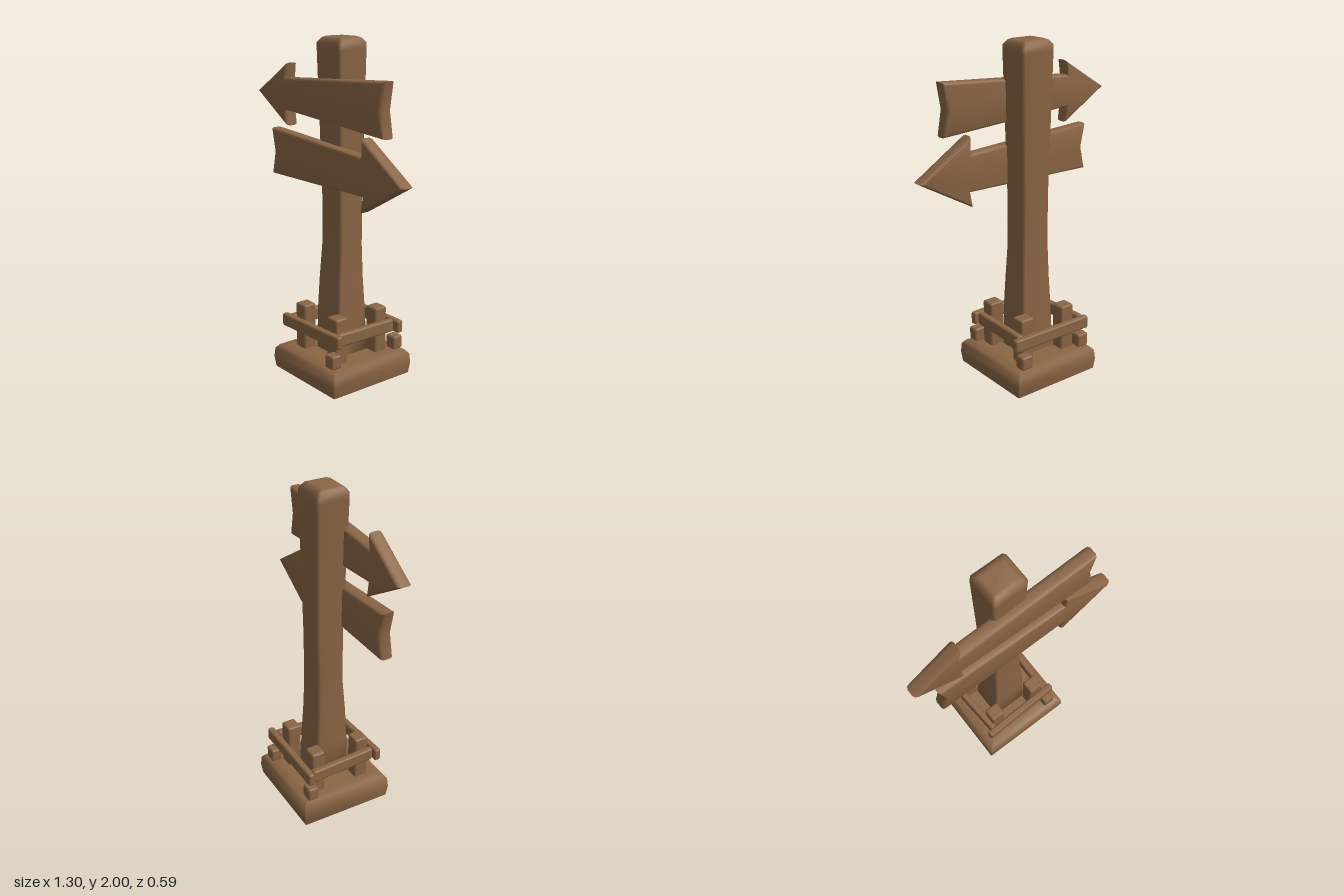
import * as THREE from 'three';
import { toCreasedNormals } from 'three/addons/utils/BufferGeometryUtils.js';
import { RoundedBoxGeometry } from 'three/addons/geometries/RoundedBoxGeometry.js';

const wood = new THREE.MeshStandardMaterial({ color: 0x8a6545 });
wood.name = 'brown wood';

// Skin over chamfered rectangles: each section is [y, x0, x1, z0, z1, chamfer]
function loft(sections, crease) {
  const pos = [], idx = [], n = 8;
  for (const [y, x0, x1, z0, z1, c] of sections) {
    const ring = [[x1, z0 + c], [x1, z1 - c], [x1 - c, z1], [x0 + c, z1],
      [x0, z1 - c], [x0, z0 + c], [x0 + c, z0], [x1 - c, z0]];
    for (const [x, z] of ring) pos.push(x, y, z);
  }
  const last = (sections.length - 1) * n;
  for (let s = 0; s < last; s += n) {
    for (let i = 0; i < n; i++) {
      const a = s + i, b = s + (i + 1) % n;
      idx.push(a, a + n, b, b, a + n, b + n);
    }
  }
  for (let i = 1; i < n - 1; i++) {
    idx.push(0, i, i + 1, last, last + i + 1, last + i);
  }
  const g = new THREE.BufferGeometry();
  g.setAttribute('position', new THREE.Float32BufferAttribute(pos, 3));
  g.setIndex(idx);
  if (crease) return toCreasedNormals(g, crease);
  g.computeVertexNormals();
  return g;
}

// Arrow board with softened edges
function board(points) {
  const shape = new THREE.Shape(points.map(([x, y]) => new THREE.Vector2(x, y)));
  const g = new THREE.ExtrudeGeometry(shape, {
    depth: 0.04, bevelThickness: 0.022, bevelSize: 0.018, bevelOffset: -0.018, bevelSegments: 2,
  });
  g.translate(0, 0, 0.084);
  return toCreasedNormals(g, 0.9);
}

export function createModel() {
  const group = new THREE.Group();
  const add = (name, geometry) => {
    const mesh = new THREE.Mesh(geometry, wood);
    mesh.name = name;
    group.add(mesh);
    return mesh;
  };
  const block = (name, x, y, z, w, h, d, r = 0.012) => {
    const mesh = add(name, new RoundedBoxGeometry(w, h, d, 1, r));
    mesh.position.set(x, y, z);
    return mesh;
  };

  // Plinth, hollow underneath
  add('base', loft([
    [0.09, -0.2, 0.15, -0.18, 0.18, 0.005],
    [0.02, -0.22, 0.17, -0.2, 0.2, 0.005],
    [0, -0.25, 0.2, -0.23, 0.23, 0.005],
    [0.005, -0.315, 0.265, -0.285, 0.285, 0.005],
    [0.07, -0.32, 0.272, -0.295, 0.295, 0.005],
    [0.125, -0.315, 0.268, -0.29, 0.29, 0.005],
    [0.148, -0.295, 0.25, -0.27, 0.27, 0.005],
    [0.15, -0.24, 0.19, -0.21, 0.21, 0.005],
  ], 1.1));

  // Main post, waisted and slightly bent
  add('post', loft([
    [0.1, -0.14, 0.09, -0.115, 0.11, 0.015],
    [0.4, -0.133, 0.085, -0.1, 0.107, 0.015],
    [0.6, -0.125, 0.077, -0.09, 0.098, 0.015],
    [0.8, -0.118, 0.072, -0.085, 0.083, 0.015],
    [1.1, -0.115, 0.07, -0.088, 0.083, 0.015],
    [1.5, -0.125, 0.078, -0.094, 0.09, 0.015],
    [1.93, -0.135, 0.085, -0.101, 0.1, 0.015],
    [1.965, -0.135, 0.085, -0.1, 0.1, 0.015],
    [1.992, -0.115, 0.066, -0.08, 0.08, 0.015],
    [2.0, -0.095, 0.046, -0.06, 0.06, 0.01],
  ]));

  // Direction boards
  add('upperArrow', board([
    [-0.655, 1.65], [-0.36, 1.47], [-0.37, 1.56], [0.49, 1.505],
    [0.465, 1.65], [0.49, 1.805], [-0.37, 1.75], [-0.36, 1.835],
  ]));
  add('lowerArrow', board([
    [0.65, 1.275], [0.315, 1.49], [0.315, 1.39], [-0.52, 1.44],
    [-0.49, 1.3], [-0.52, 1.16], [0.325, 1.17], [0.31, 1.08],
  ]));

  // Short fence posts around the foot
  for (const x of [-0.18, 0.122]) {
    for (const z of [-0.145, 0.15]) block('fencePost', x, 0.245, z, 0.092, 0.36, 0.086);
  }

  // Slightly crooked rails: [name, start x, z, end x, z]
  const rails = [
    ['frontRail', -0.285, 0.232, 0.23, 0.212, 0.312],
    ['backRail', -0.295, -0.228, 0.25, -0.226, 0.308],
    ['leftRail', 0.19, -0.21, 0.182, 0.2, 0.31],
    ['rightRail', -0.262, -0.21, -0.235, 0.212, 0.31],
  ];
  for (const [name, x0, z0, x1, z1, y] of rails) {
    const dx = x1 - x0, dz = z1 - z0;
    const rail = block(name, (x0 + x1) / 2, y, (z0 + z1) / 2, Math.hypot(dx, dz), 0.078, 0.042);
    rail.rotation.y = -Math.atan2(dz, dx);
  }

  // Loose blocks at the corners
  for (const [x, z] of [[0.185, 0.23], [0.185, -0.235], [-0.256, -0.217]]) {
    block('cornerBlock', x, 0.197, z, 0.076, 0.082, 0.068);
  }

  return group;
}
